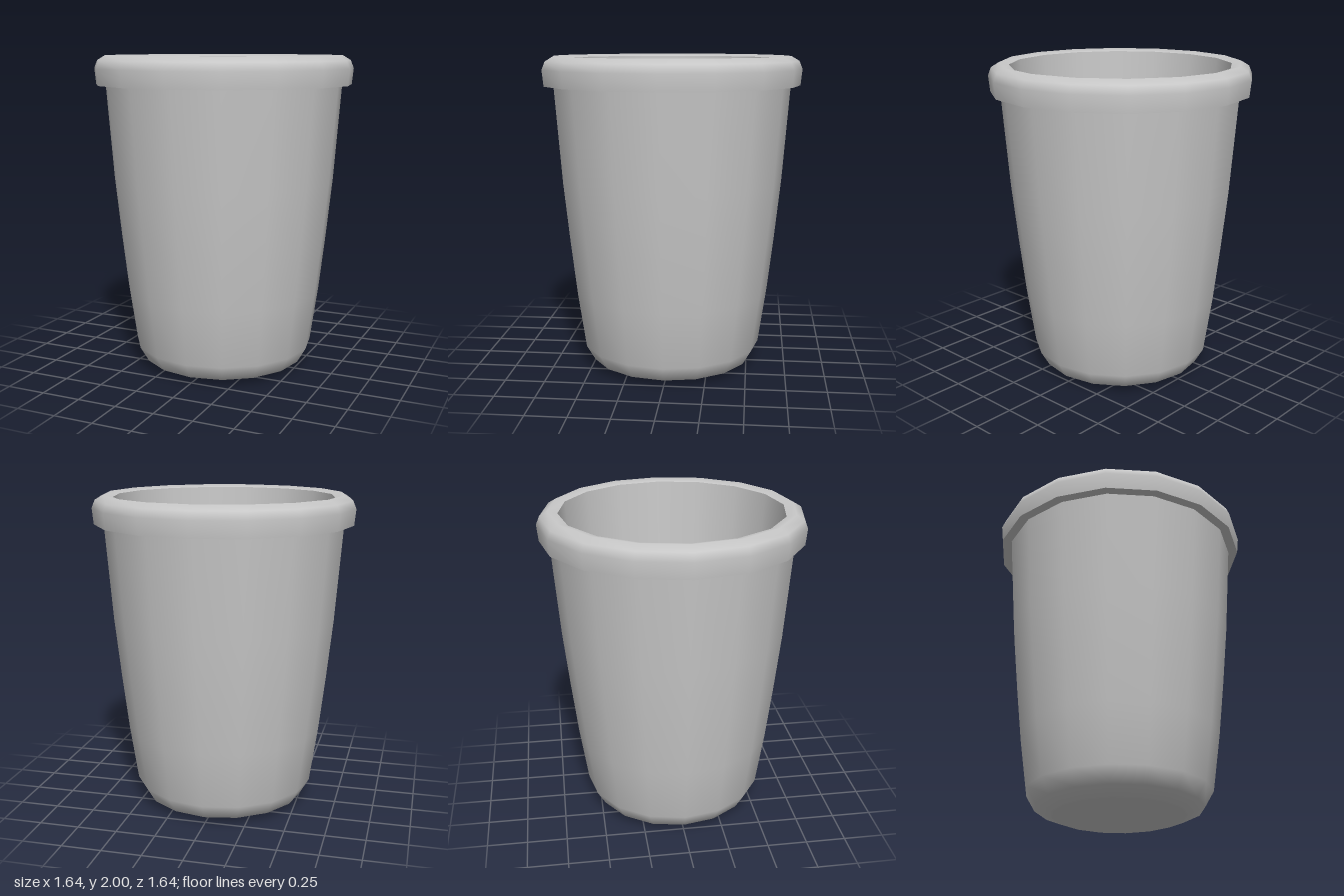
import * as THREE from 'three';

const SIDES = 16;

export function createModel() {
  const group = new THREE.Group();
  const clay = new THREE.MeshStandardMaterial({ color: 0xc8c8c8 });
  clay.name = 'lightGrey';

  // Revolve a profile of [radius, height] points; upward order faces outward
  const addLathe = (name, profile) => {
    const points = profile.map(([r, y]) => new THREE.Vector2(r, y));
    const mesh = new THREE.Mesh(new THREE.LatheGeometry(points, SIDES), clay);
    mesh.name = name;
    group.add(mesh);
  };

  // Flat base and curved outer wall
  addLathe('base', [[0, 0], [0.41, 0]]);
  addLathe('outerWall', [
    [0.41, 0], [0.52, 0.045], [0.575, 0.14], [0.627, 0.5],
    [0.667, 0.85], [0.705, 1.22], [0.75, 1.82],
  ]);

  // Overhanging rolled rim
  addLathe('rimUnderside', [[0.75, 1.82], [0.81, 1.82]]);
  addLathe('rim', [
    [0.81, 1.82], [0.82, 1.92], [0.8, 1.97], [0.75, 2], [0.69, 1.985],
  ]);

  // Hollow inside and its floor
  addLathe('upperInnerWall', [[0.69, 1.985], [0.64, 1.22]]);
  addLathe('lowerInnerWall', [[0.64, 1.22], [0.57, 0.6], [0.505, 0.15]]);
  addLathe('innerFloor', [[0.505, 0.15], [0, 0.15]]);

  return group;
}
